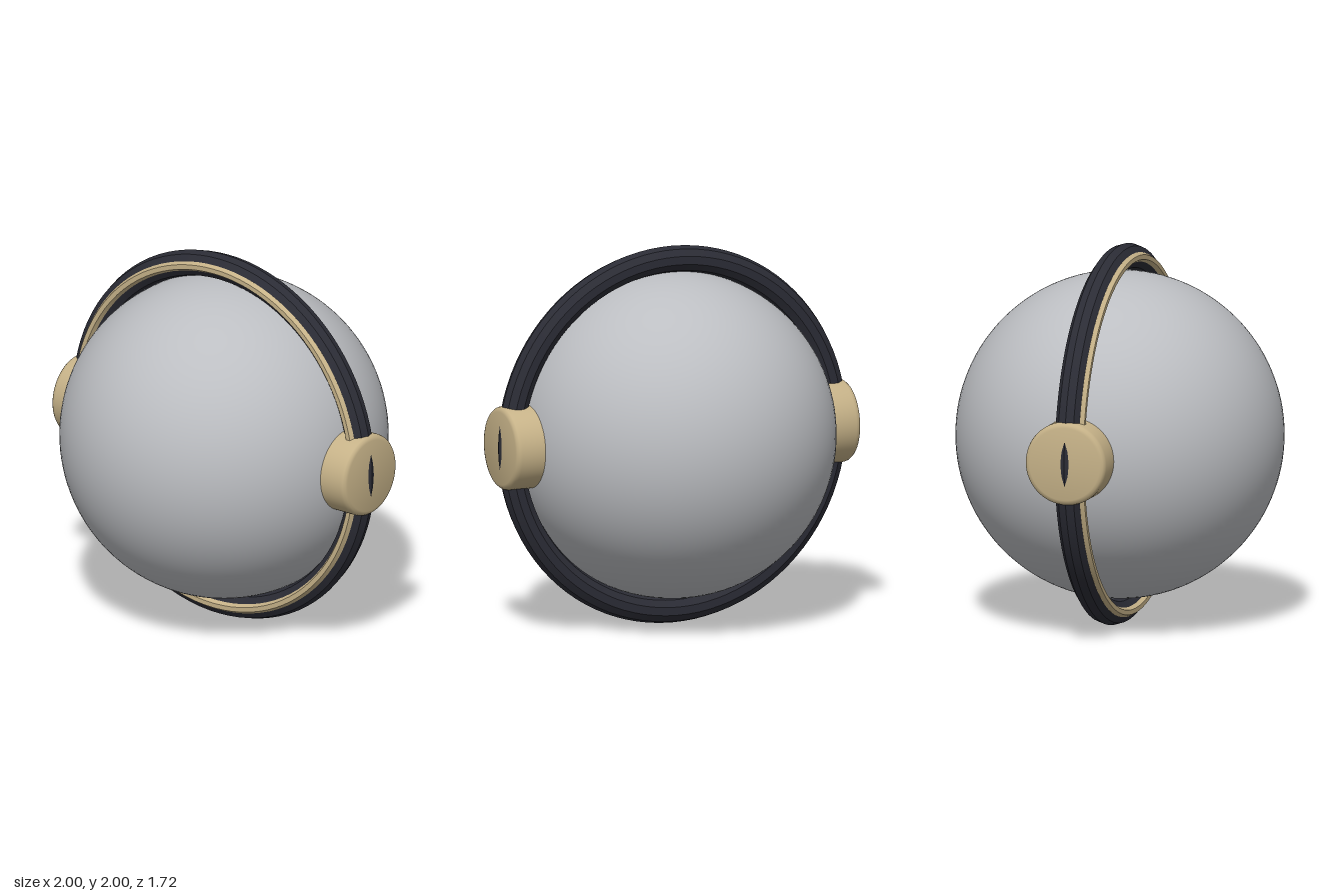
import * as THREE from 'three';
import { toCreasedNormals } from 'three/addons/utils/BufferGeometryUtils.js';

export function createModel() {
  const group = new THREE.Group();
  const grey = new THREE.MeshStandardMaterial({ color: 0xbcbec2 });
  grey.name = 'shellGrey';
  const dark = new THREE.MeshStandardMaterial({ color: 0x2b2c35 });
  dark.name = 'bandDark';
  const gold = new THREE.MeshStandardMaterial({ color: 0xc6b288 });
  gold.name = 'paleGold';

  const add = (name, geometry, material, x = 0, y = 1, z = 0) => {
    const mesh = new THREE.Mesh(geometry, material);
    mesh.name = name;
    mesh.position.set(x, y, z);
    group.add(mesh);
    return mesh;
  };

  // Smooth ball
  add('ball', new THREE.SphereGeometry(0.86, 96, 64), grey);

  // Ring with a ten-sided section, faceted across and smooth along its length
  const ring = (radius, tube, sides) =>
    toCreasedNormals(new THREE.TorusGeometry(radius, tube, sides, 96), 0.4);
  add('outerRing', ring(0.93, 0.07, 10), dark);

  // Thin trim on the front of the ring
  add('frontTrim', ring(0.93, 0.025, 6), gold, 0, 1, 0.065);

  // Bevelled hubs at both sides; the ring just breaks through their end faces
  const profile = [
    [0, 0.76], [0.22, 0.76], [0.22, 0.962], [0.216, 0.977],
    [0.207, 0.988], [0.192, 0.9925], [0, 0.9925],
  ].map(([r, h]) => new THREE.Vector2(r, h));
  const hub = toCreasedNormals(new THREE.LatheGeometry(profile, 64), 0.6);
  for (const side of [1, -1]) {
    const mesh = add(side > 0 ? 'leftHub' : 'rightHub', hub, gold);
    mesh.rotation.z = -side * Math.PI / 2;
  }
  return group;
}
